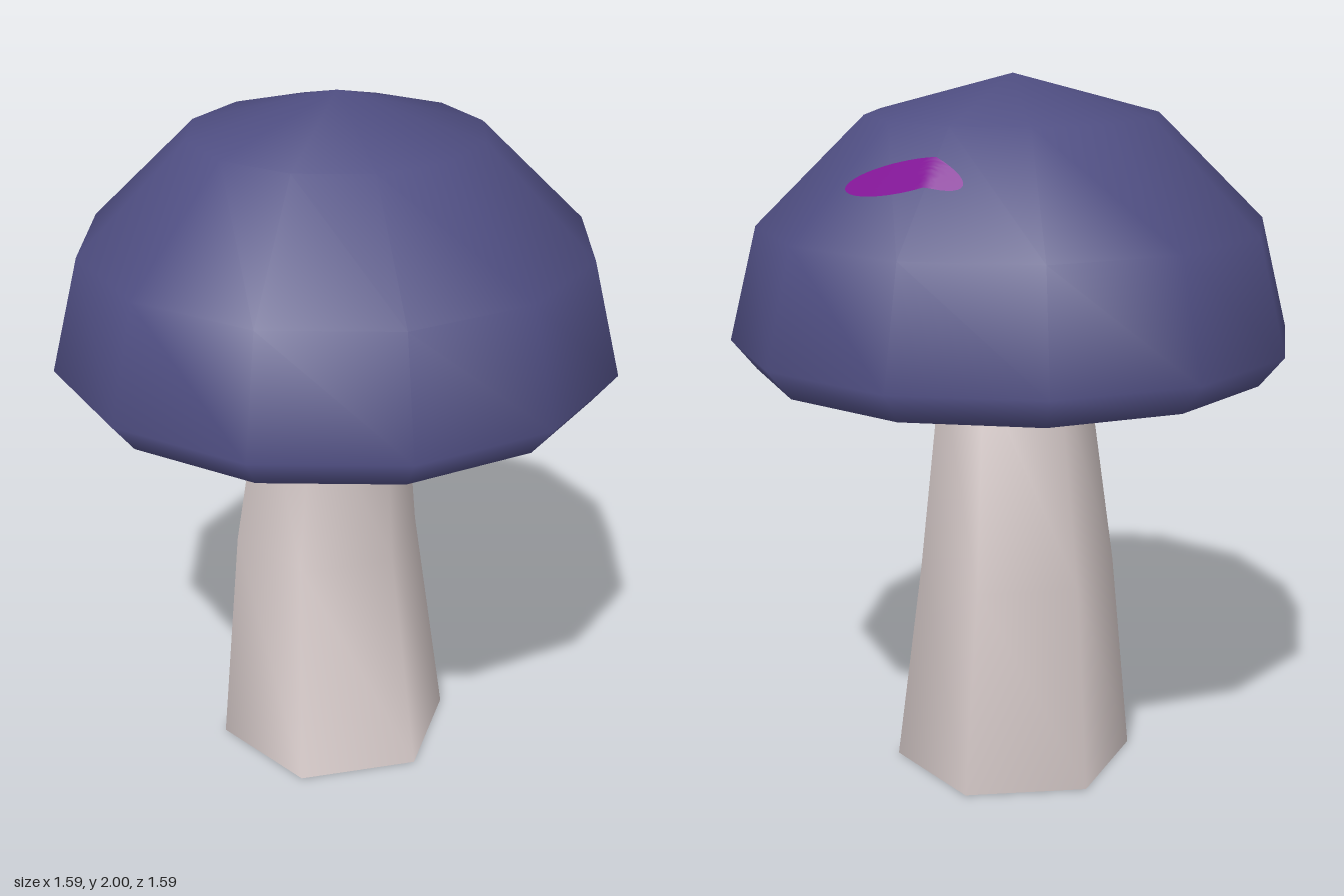
import * as THREE from 'three';
import { mergeVertices } from 'three/addons/utils/BufferGeometryUtils.js';

const SIDES = 12;
// Cap outline as [radius, height], rim to crown
const CAP = [[0.725, 1.185], [0.795, 1.27], [0.715, 1.59], [0.41, 1.89], [0, 2]];
// Stem rings as [radius, height, z offset]
const STEM = [[0.347, 0, -0.03], [0.277, 0.62, -0.12], [0.209, 1.19, -0.038]];

const material = (name, color) => {
  const m = new THREE.MeshStandardMaterial({ color });
  m.name = name;
  return m;
};

// Height of the faceted cap above a point (x, z)
function capHeight(x, z) {
  const step = (2 * Math.PI) / SIDES;
  const mid = (Math.floor(Math.atan2(x, z) / step) + 0.5) * step;
  const r = (x * Math.sin(mid) + z * Math.cos(mid)) / Math.cos(step / 2);
  for (let i = CAP.length - 1; i > 1; i--) {
    const [r0, y0] = CAP[i], [r1, y1] = CAP[i - 1];
    if (r <= r1) return y0 + ((y1 - y0) * (r - r0)) / (r1 - r0);
  }
  return CAP[1][1];
}

// Smooth normals without a seam
function smooth(geometry) {
  geometry.deleteAttribute('uv');
  geometry.deleteAttribute('normal');
  const g = mergeVertices(geometry, 1e-4);
  g.computeVertexNormals();
  return g;
}

const profile = (rings) => rings.map(([r, y]) => new THREE.Vector2(r, y));

export function createModel() {
  const group = new THREE.Group();
  const capMat = material('indigo cap', 0x4f4e82);
  const underMat = material('pale lilac underside', 0xa8a4ba);
  const stemMat = material('pale stem', 0xd8cccb);
  const spotMat = material('purple spot', 0x800d94);

  const add = (name, geometry, mat) => {
    const mesh = new THREE.Mesh(geometry, mat);
    mesh.name = name;
    group.add(mesh);
    return mesh;
  };

  // Domed cap and its flat underside
  add('cap', smooth(new THREE.LatheGeometry(profile(CAP), SIDES)), capMat);
  const under = add('capUnderside', new THREE.CircleGeometry(CAP[0][0], SIDES), underMat);
  under.rotation.x = Math.PI / 2;
  under.position.y = CAP[0][1];

  // Six-sided stem, bent backwards at the middle
  const stem = new THREE.LatheGeometry(profile(STEM), 6, Math.PI / 6);
  const p = stem.attributes.position;
  for (let i = 0; i < p.count; i++) {
    const ring = STEM.find(([, y]) => Math.abs(y - p.getY(i)) < 1e-4);
    p.setZ(i, p.getZ(i) + ring[2]);
  }
  add('stem', smooth(stem), stemMat);
  const base = add('stemBase', new THREE.CircleGeometry(STEM[0][0], 6), stemMat);
  base.rotation.x = Math.PI / 2;
  base.position.z = STEM[0][2];

  // Oval spot draped over the back of the cap
  const spot = new THREE.RingGeometry(0, 1, 40, 8);
  spot.rotateX(-Math.PI / 2);
  const s = spot.attributes.position;
  const angle = Math.atan2(0.19, 0.29);
  for (let i = 0; i < s.count; i++) {
    const u = s.getX(i) * 0.172, v = s.getZ(i) * 0.039;
    const x = 0.327 + u * Math.cos(angle) - v * Math.sin(angle);
    const z = -0.408 + u * Math.sin(angle) + v * Math.cos(angle);
    s.setXYZ(i, x, capHeight(x, z) + 0.006, z);
  }
  add('capSpot', smooth(spot), spotMat);

  return group;
}
